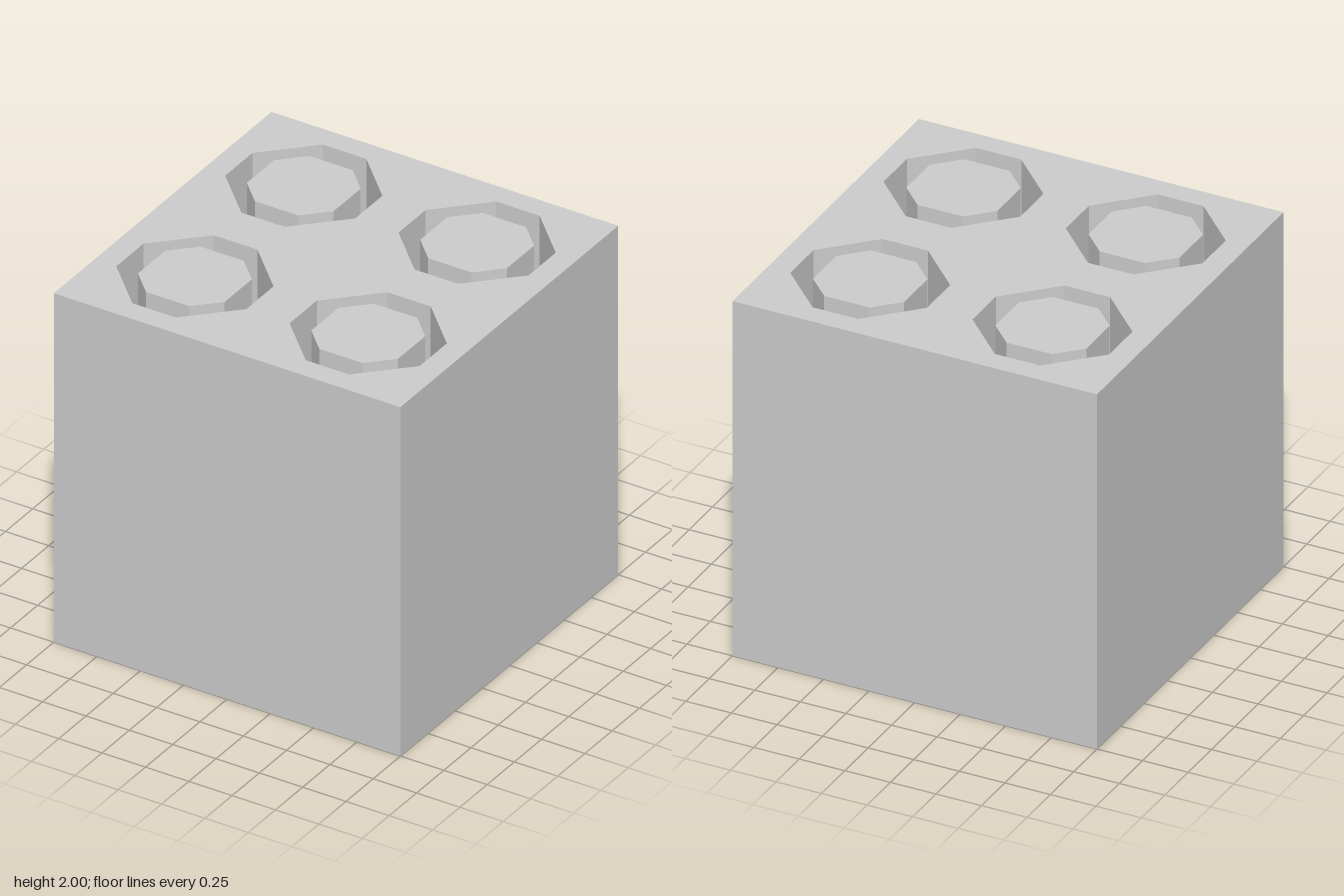
import * as THREE from 'three';

const HEIGHT = 2;

// Eight corners of a square of half-width `half` whose sides are `2 * flat` long
function octagon(cx, cy, half, flat) {
  return [
    [half, -flat], [half, flat], [flat, half], [-flat, half],
    [-half, flat], [-half, -flat], [-flat, -half], [flat, -half],
  ].map(([x, y]) => new THREE.Vector2(cx + x, cy + y));
}

// Extrude a plan shape straight up from the ground
function extrudeUp(shape) {
  const geometry = new THREE.ExtrudeGeometry(shape, { depth: HEIGHT, bevelEnabled: false });
  return geometry.rotateX(-Math.PI / 2);
}

export function createModel() {
  const group = new THREE.Group();
  group.name = 'boredBlock';
  const material = new THREE.MeshStandardMaterial({ color: 0xcccccc, flatShading: true });

  const block = new THREE.Shape([
    new THREE.Vector2(-1, -1), new THREE.Vector2(1, -1),
    new THREE.Vector2(1, 1), new THREE.Vector2(-1, 1),
  ]);

  // Four octagonal shafts, each with a free-standing core inside
  for (const x of [-0.5, 0.5]) {
    for (const z of [-0.5, 0.5]) {
      block.holes.push(new THREE.Path(octagon(x, -z, 0.375, 0.125)));
      const core = new THREE.Mesh(extrudeUp(new THREE.Shape(octagon(0, 0, 0.25, 0.125))), material);
      core.name = `${z > 0 ? 'front' : 'back'}${x > 0 ? 'Left' : 'Right'}Core`;
      core.position.set(x, 0, z);
      group.add(core);
    }
  }

  // Outer cube pierced by the shafts
  const body = new THREE.Mesh(extrudeUp(block), material);
  body.name = 'body';
  group.add(body);

  return group;
}
